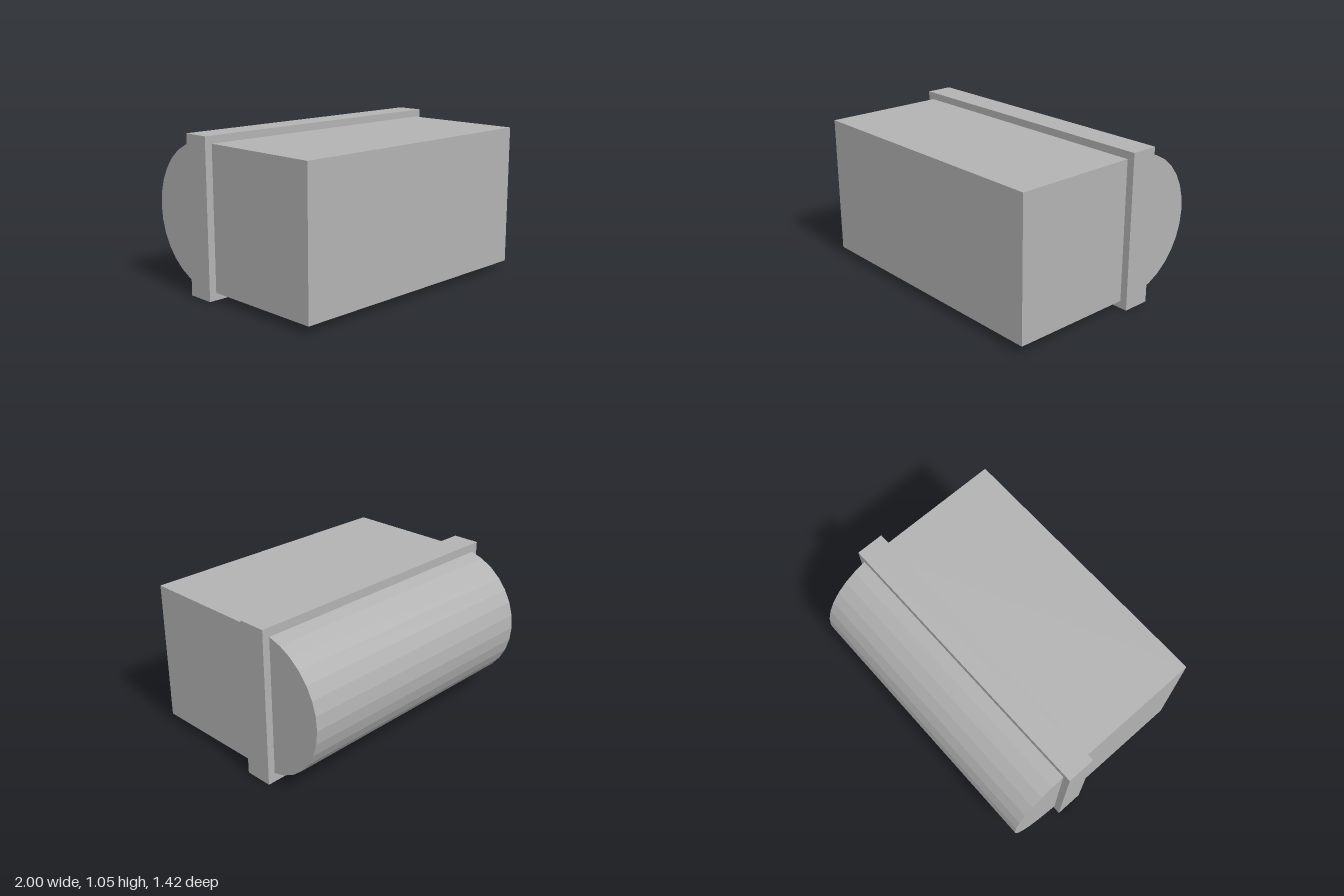
import * as THREE from 'three';

export function createModel() {
  const model = new THREE.Group();
  const grey = new THREE.MeshStandardMaterial({ color: 0xb2b2b2, flatShading: true });
  grey.name = 'plain grey';

  const midY = 0.525, bandZ = -0.2375;
  const add = (name, geometry, z) => {
    const mesh = new THREE.Mesh(geometry, grey);
    mesh.name = name;
    mesh.position.set(0, midY, z);
    model.add(mesh);
  };

  // Front block, ending inside the band
  const front = 0.7125, depth = front - bandZ;
  add('frontBlock', new THREE.BoxGeometry(1.9, 0.95, depth), front - depth / 2);

  // Collar that stands proud all the way round
  add('collarBand', new THREE.BoxGeometry(2, 1.05, 0.19), bandZ);

  // Half-round back, lying along x with its flat side inside the band
  const half = new THREE.CylinderGeometry(0.475, 0.475, 1.9, 16, 1, false, Math.PI / 2, Math.PI);
  half.rotateZ(Math.PI / 2);
  add('roundedBack', half, bandZ);

  return model;
}
